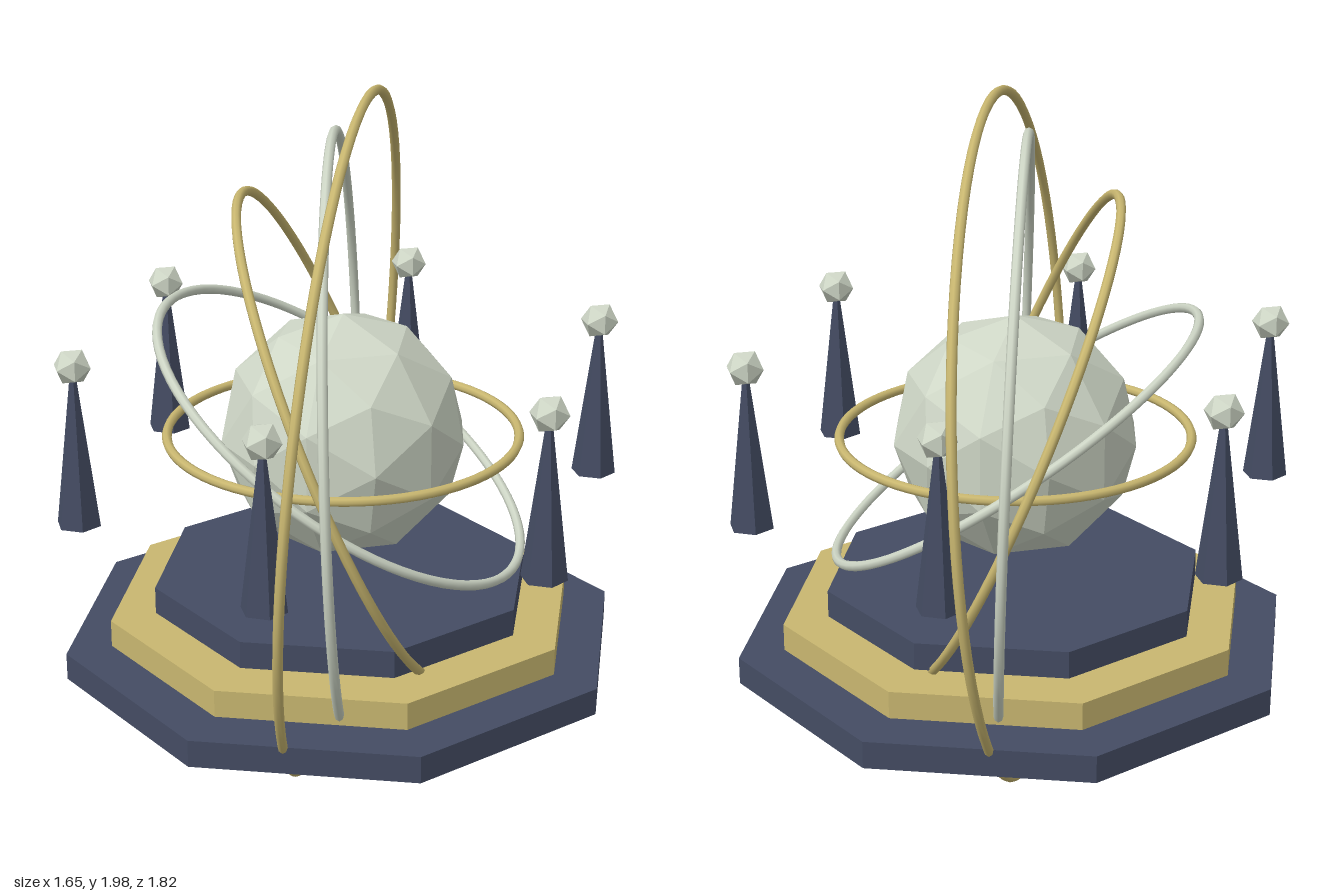
import * as THREE from 'three';

const mat = (name, color) => {
  const m = new THREE.MeshStandardMaterial({ color });
  m.name = name;
  return m;
};

// Faceted copy of a geometry
const faceted = (geometry) => {
  const g = geometry.index ? geometry.toNonIndexed() : geometry;
  g.computeVertexNormals();
  return g;
};

export function createModel() {
  const navy = mat('navy', 0x444c63);
  const gold = mat('gold', 0xc9b770);
  const silver = mat('silver', 0xced6c6);

  const model = new THREE.Group();
  model.name = 'orrery';
  const add = (parent, name, geometry, material, x = 0, y = 0, z = 0) => {
    const mesh = new THREE.Mesh(geometry, material);
    mesh.name = name;
    mesh.position.set(x, y, z);
    parent.add(mesh);
    return mesh;
  };

  // Three stacked octagonal steps
  const steps = [
    ['lowerStep', 0.825, 0.35, navy],
    ['middleStep', 0.692, 0.44, gold],
    ['upperStep', 0.56, 0.53, navy],
  ];
  for (const [name, r, y, material] of steps) {
    add(model, name, faceted(new THREE.CylinderGeometry(r, r, 0.08, 8)), material, 0, y, 0);
  }

  // Central faceted globe
  add(model, 'globe', faceted(new THREE.IcosahedronGeometry(0.357, 1)), silver, 0, 1, 0);

  // Nested rings, each given by the axis it turns around
  const axes = [
    [0, 1, 0],
    [0.51, 0.827, 0.23],
    [0.878, 0.391, 0.25],
    [0.954, 0.037, 0.298],
    [0.913, -0.067, 0.4],
  ];
  const forward = new THREE.Vector3(0, 0, 1);
  axes.forEach((axis, i) => {
    const geometry = new THREE.TorusGeometry(0.505 + 0.118 * i, 0.014, 8, 80);
    const ring = add(model, `ring${i + 1}`, geometry, i % 2 ? silver : gold, 0, 1, 0);
    ring.quaternion.setFromUnitVectors(forward, new THREE.Vector3(...axis).normalize());
  });

  // Six floating spires tipped with small gems
  const spireShape = faceted(new THREE.CylinderGeometry(0.01, 0.065, 0.44, 6));
  const gemShape = faceted(new THREE.IcosahedronGeometry(0.055, 0));
  for (let i = 0; i < 6; i++) {
    const a = (i * Math.PI) / 3;
    const spire = new THREE.Group();
    spire.name = `spire${i + 1}`;
    spire.position.set(0.77 * Math.cos(a), 0, 0.77 * Math.sin(a));
    add(spire, 'spireBody', spireShape, navy, 0, 1.017, 0);
    add(spire, 'spireGem', gemShape, silver, 0, 1.27, 0);
    model.add(spire);
  }

  return model;
}
